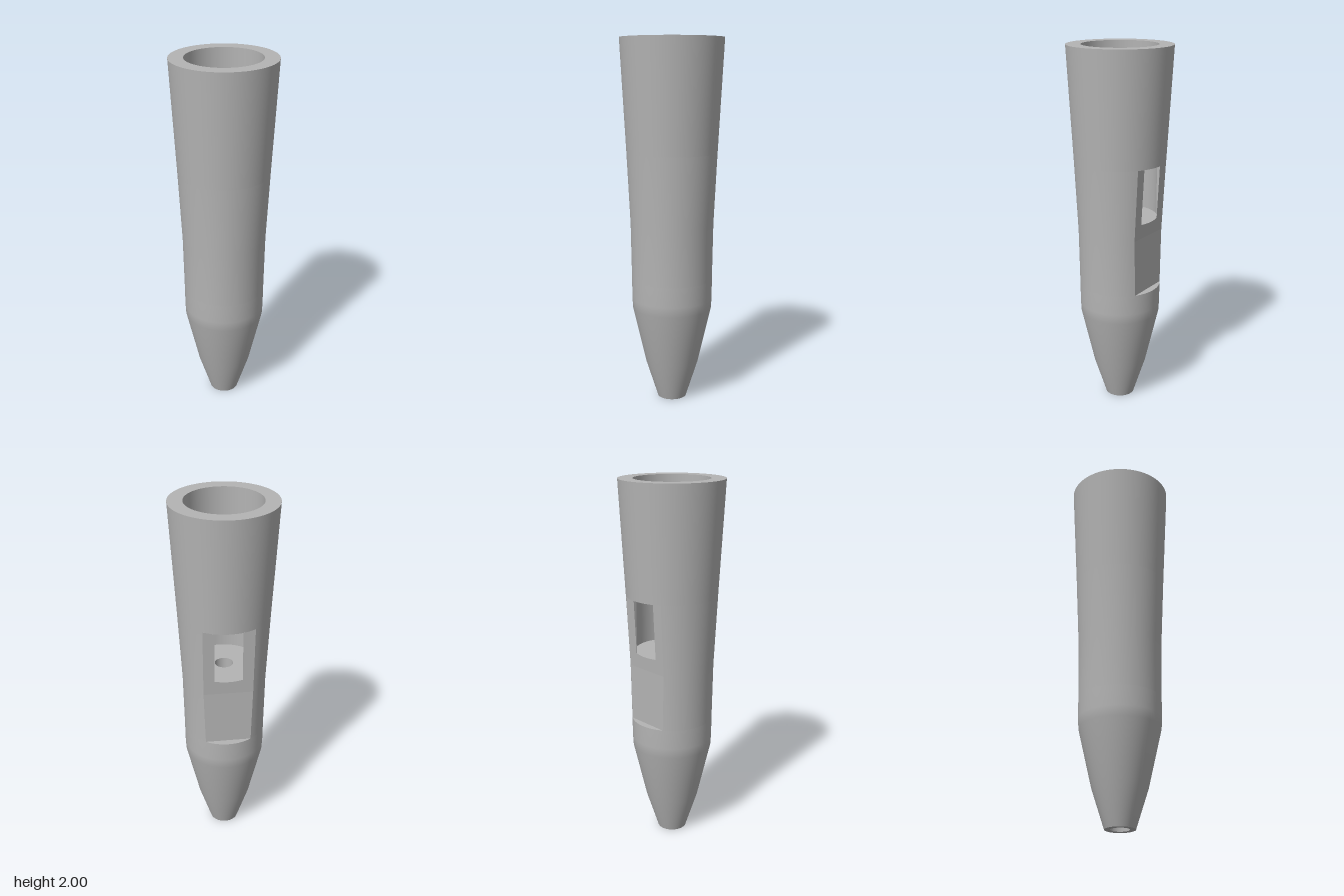
import * as THREE from 'three';

const SEG = 72;
const BORE = 0.2015, HOLE = 0.05;          // wide upper bore, narrow lower channel
const FLOOR = 1.08;                        // bottom of the wide bore and of the window
const LOW = 0.69, BEND = 1.0, HIGH = 1.39; // heights of the recess at the back
const HALF = 0.076;                        // half width of the window
const EDGE = Math.sqrt(BORE * BORE - HALF * HALF);

// Outer radius and depth of the flat at the recess heights
const lerp = THREE.MathUtils.lerp;
const outer = y => y < BEND ? lerp(0.223, 0.228, (y - LOW) / (BEND - LOW))
  : lerp(0.228, 0.247, (y - BEND) / (HIGH - BEND));
const flat = y => y < BEND ? 0.185 : lerp(0.185, 0.206, (y - BEND) / (HIGH - BEND));
const chord = y => Math.sqrt(outer(y) ** 2 - flat(y) ** 2);

// Surface between rows of points: rows run left to right, stacked upward
function sheet(...rows) {
  const n = rows[0].length, index = [];
  for (let r = 0; r < rows.length - 1; r++) {
    for (let i = 0; i < n - 1; i++) {
      const a = r * n + i, b = a + 1, c = b + n, d = a + n;
      index.push(a, b, c, a, c, d);
    }
  }
  const geo = new THREE.BufferGeometry();
  geo.setAttribute('position', new THREE.Float32BufferAttribute(rows.flat(2), 3));
  geo.setIndex(index);
  geo.computeVertexNormals();
  return geo;
}

function lathe(points, start = 0, length = Math.PI * 2) {
  return new THREE.LatheGeometry(points.map(p => new THREE.Vector2(...p)), SEG, start, length);
}

export function createModel() {
  const group = new THREE.Group();
  const grey = new THREE.MeshStandardMaterial({ color: 0xb4b4b4, side: THREE.DoubleSide });
  grey.name = 'plain grey';
  const add = (name, geo) => {
    const mesh = new THREE.Mesh(geo, grey);
    mesh.name = name;
    group.add(mesh);
  };

  // Outer skin: tip below the recess, sleeve above it
  add('taperedTip', lathe([[0.08, 0], [0.147, 0.21], [0.219, 0.525], [0.222, 0.58], [0.223, LOW]]));
  add('upperSleeve', lathe([[0.247, HIGH], [0.28, 2]]));

  // Skin beside the recess, open at the back
  const shellRow = y => {
    const a = Math.acos(flat(y) / outer(y));
    return Array.from({ length: SEG + 1 }, (_, i) => {
      const phi = Math.PI + a + (2 * Math.PI - 2 * a) * i / SEG;
      return [outer(y) * Math.sin(phi), y, outer(y) * Math.cos(phi)];
    });
  };
  add('middleSleeve', sheet(shellRow(LOW), shellRow(BEND), shellRow(HIGH)));

  // Rims, bore, bore floor and narrow channel
  add('bottomRim', lathe([[HOLE, 0], [0.08, 0]]));
  add('topRim', lathe([[0.28, 2], [BORE, 2]]));
  add('upperBore', lathe([[BORE, 2], [BORE, HIGH]]));
  const gap = Math.asin(HALF / BORE);
  add('lowerBore', lathe([[BORE, HIGH], [BORE, FLOOR]], Math.PI + gap, 2 * Math.PI - 2 * gap));
  add('boreFloor', lathe([[BORE, FLOOR], [HOLE, FLOOR]]));
  add('channel', lathe([[HOLE, FLOOR], [HOLE, 0]]));

  // Flat back wall of the recess, below and beside the window
  const wallRow = (y, from, to) => [[from, y, -flat(y)], [to, y, -flat(y)]];
  const fullRow = y => wallRow(y, chord(y), -chord(y));
  add('recessLowerWall', sheet(fullRow(LOW), fullRow(BEND)));
  add('recessUpperWall', sheet(fullRow(BEND), fullRow(FLOOR)));
  add('recessLeftWall', sheet(...[FLOOR, HIGH].map(y => wallRow(y, chord(y), HALF))));
  add('recessRightWall', sheet(...[FLOOR, HIGH].map(y => wallRow(y, -HALF, -chord(y)))));

  // Ledges closing the recess, made between an inner line and the outer arc
  const ledgeRow = (y, x0, x1, depth) => Array.from({ length: 17 }, (_, i) => {
    const x = lerp(x0, x1, i / 16);
    return [x, y, -depth(x)];
  });
  const arc = r => x => Math.sqrt(Math.max(0, r * r - x * x));
  const cl = chord(LOW), ch = chord(HIGH);
  add('bottomLedge', sheet(ledgeRow(LOW, -cl, cl, () => flat(LOW)), ledgeRow(LOW, -cl, cl, arc(outer(LOW)))));
  for (const [x0, x1, inner] of [[-ch, -HALF, () => flat(HIGH)], [-HALF, HALF, arc(BORE)], [HALF, ch, () => flat(HIGH)]]) {
    add('topLedge', sheet(ledgeRow(HIGH, x0, x1, arc(outer(HIGH))), ledgeRow(HIGH, x0, x1, inner)));
  }

  // Window sill and side faces
  add('windowSill', sheet([[-HALF, FLOOR, -EDGE], [HALF, FLOOR, -EDGE]],
    [[-HALF, FLOOR, -flat(FLOOR)], [HALF, FLOOR, -flat(FLOOR)]]));
  for (const s of [1, -1]) {
    const rows = [FLOOR, HIGH].map(y => {
      const row = [[s * HALF, y, -flat(y)], [s * HALF, y, -EDGE]];
      return s > 0 ? row : row.reverse();
    });
    add(s > 0 ? 'windowLeftSide' : 'windowRightSide', sheet(...rows));
  }
  return group;
}
